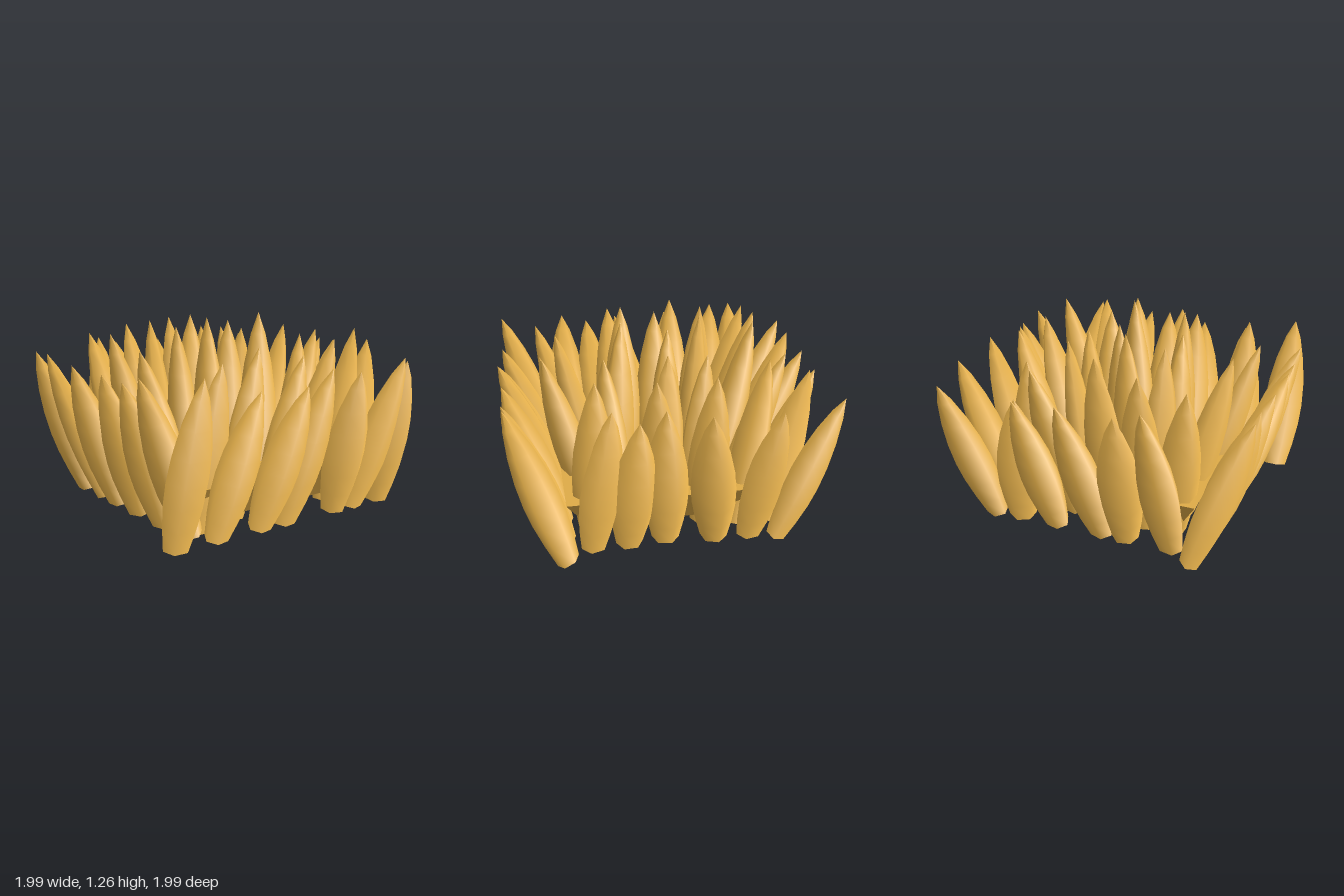
import * as THREE from 'three';

// Each spike: base x, base z, tip x, tip y, tip z
const outerRing = [
  // front row
  [-0.835, 0.65, -0.855, 1.02, 0.96], [-0.56, 0.65, -0.49, 0.92, 0.965], [-0.24, 0.65, -0.17, 0.92, 0.985],
  [-0.05, 0.65, 0.01, 1.0, 0.99], [0.37, 0.65, 0.25, 0.96, 0.975], [0.53, 0.65, 0.63, 1.01, 0.975], [0.77, 0.65, 0.66, 0.99, 0.97],
  // left and right columns
  [-0.66, -0.75, -1.0, 1.0, -0.77], [-0.66, -0.5, -0.99, 1.0, -0.62], [-0.66, -0.3, -0.99, 0.96, -0.26],
  [-0.66, -0.04, -0.99, 0.95, 0.12], [-0.66, 0.25, -0.98, 0.93, 0.34], [-0.64, 0.5, -0.98, 0.98, 0.52],
  [0.66, -0.5, 0.975, 1.0, -0.57], [0.66, -0.27, 0.99, 1.02, -0.16], [0.62, 0.03, 0.895, 1.03, 0.08],
  [0.64, 0.26, 0.965, 1.0, 0.24], [0.64, 0.48, 0.92, 1.06, 0.385],
  // back row
  [-0.5, -0.65, -0.425, 1.04, -0.98], [-0.2, -0.65, -0.275, 1.0, -1.0], [-0.04, -0.65, 0.08, 1.0, -0.985],
  [0.27, -0.65, 0.36, 0.98, -0.97], [0.52, -0.65, 0.36, 0.98, -0.94], [0.7, -0.67, 0.85, 1.0, -0.975],
];
const middleRing = [
  [-0.45, -0.46, -0.61, 1.1, -0.76], [-0.25, -0.46, -0.32, 1.15, -0.76], [-0.02, -0.44, -0.02, 1.19, -0.67],
  [0.24, -0.45, 0.34, 1.1, -0.78], [0.5, -0.45, 0.43, 1.1, -0.65], [-0.44, -0.22, -0.725, 1.14, -0.25],
  [-0.48, 0.17, -0.78, 1.08, 0.2], [-0.56, 0.46, -0.575, 1.05, 0.73], [-0.24, 0.38, -0.225, 1.1, 0.615],
  [-0.02, 0.46, 0.02, 1.05, 0.73], [0.16, 0.46, 0.27, 1.13, 0.725], [0.45, 0.47, 0.72, 1.15, 0.455],
  [0.44, -0.25, 0.71, 1.13, -0.25], [0.44, 0.02, 0.7, 1.12, 0.1],
];
const innerCluster = [
  [-0.27, -0.32, -0.35, 1.2, -0.39], [-0.09, -0.27, -0.07, 1.23, -0.32], [0.24, -0.23, 0.34, 1.12, -0.28],
  [-0.27, -0.05, -0.35, 1.18, -0.07], [0.06, -0.07, 0.07, 1.2, -0.08], [0.26, -0.03, 0.31, 1.12, -0.04],
  [-0.25, 0.17, -0.28, 1.25, 0.17], [0.05, 0.26, 0.09, 1.27, 0.22], [0.28, 0.28, 0.32, 1.13, 0.36],
];

// Bulging profile, radius against fraction of length; the doubled point keeps the foot edge sharp
const profile = [[0, 0], [0.085, 0], [0.085, 0], [0.113, 0.15], [0.132, 0.3], [0.136, 0.43], [0.125, 0.58], [0.096, 0.74], [0.052, 0.89], [0, 1]];
const DEPTH = 0.78; // spikes are thinner along their lean than across it

// Six-sided spindle of unit length, its side normals bent toward the tip for soft, even foliage shading
function makeSpindle() {
  const spindle = new THREE.LatheGeometry(profile.map(([r, y]) => new THREE.Vector2(r, y)), 6, Math.PI / 6);
  const normals = spindle.attributes.normal;
  const n = new THREE.Vector3();
  for (let i = 0; i < normals.count; i++) {
    n.fromBufferAttribute(normals, i).normalize();
    if (n.y < -0.9) continue; // flat foot
    n.y += 0.9;
    n.normalize();
    normals.setXYZ(i, n.x, n.y, n.z);
  }
  return spindle;
}

export function createModel() {
  const model = new THREE.Group();
  model.name = 'spikyClump';
  const gold = new THREE.MeshStandardMaterial({ name: 'gold', color: 0xe0ac48 });

  // Square slab holding the spikes, narrower underneath
  const slabShape = new THREE.CylinderGeometry(0.64 * Math.SQRT2, 0.5 * Math.SQRT2, 0.24, 4).rotateY(Math.PI / 4).toNonIndexed();
  slabShape.computeVertexNormals();
  const slab = new THREE.Mesh(slabShape, gold);
  slab.name = 'baseSlab';
  slab.position.y = 0.2;
  model.add(slab);

  const spindle = makeSpindle();
  const up = new THREE.Vector3(0, 1, 0);
  const addRing = (name, spikes, width) => {
    const ring = new THREE.Group();
    ring.name = name;
    spikes.forEach(([bx, bz, tx, ty, tz]) => {
      const lean = new THREE.Vector3(tx - bx, ty, tz - bz);
      const tilt = Math.hypot(lean.x, lean.z) / lean.length();
      const lift = 0.005 + 0.085 * width * DEPTH * tilt; // keeps the tilted foot above the ground
      lean.y -= lift;
      const spike = new THREE.Mesh(spindle, gold);
      spike.name = 'spike';
      spike.position.set(bx, lift, bz);
      spike.scale.set(width, lean.length(), width * DEPTH);
      spike.quaternion.setFromUnitVectors(up, lean.normalize());
      spike.rotateY(Math.atan2(lean.x, lean.z)); // a broad face looks the way it leans
      ring.add(spike);
    });
    model.add(ring);
  };
  addRing('outerSpikes', outerRing, 1);
  addRing('middleSpikes', middleRing, 0.96);
  addRing('innerSpikes', innerCluster, 0.92);
  return model;
}
